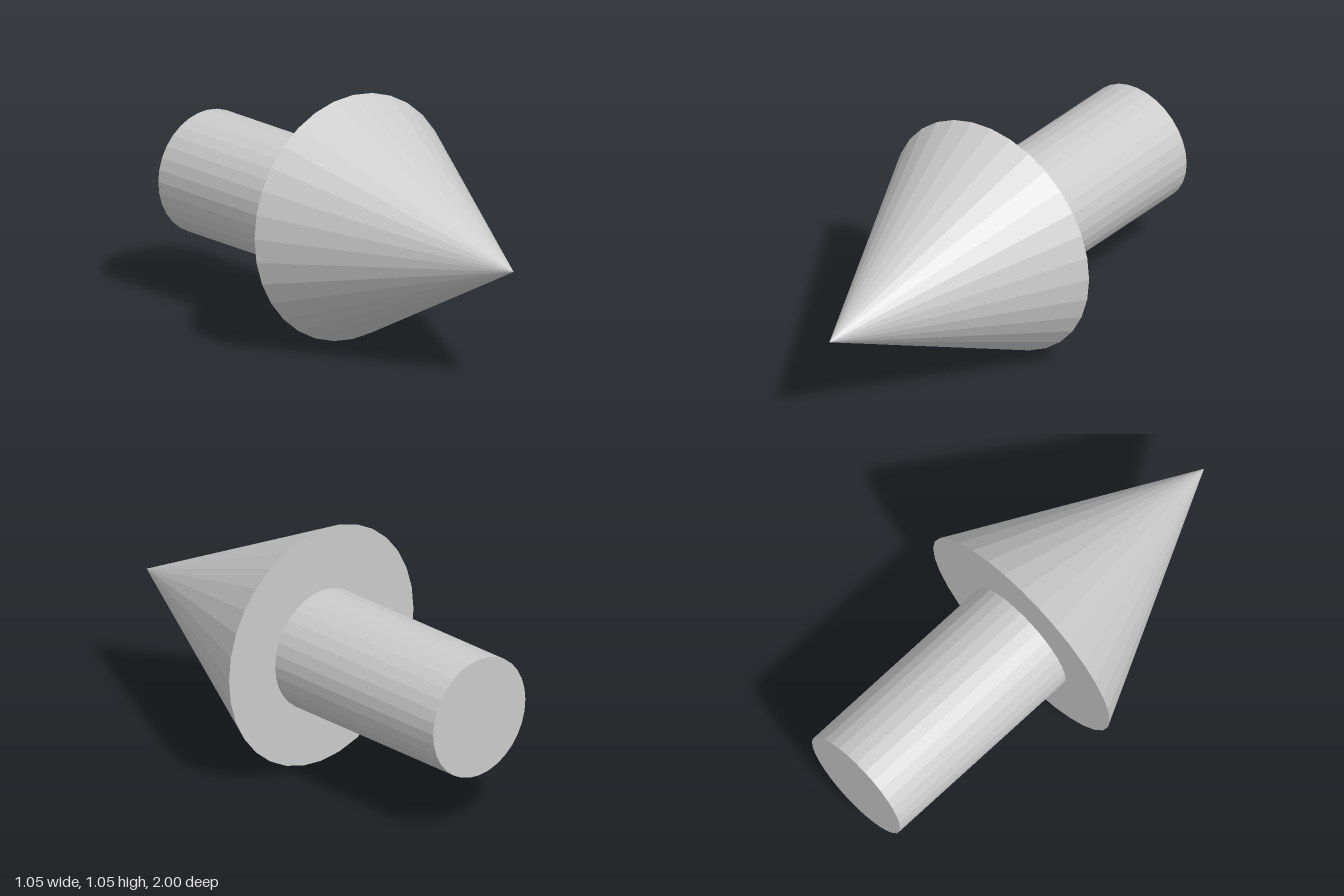
import * as THREE from 'three';

const SIDES = 32;
const BASE_Z = -0.05; // where the head meets the shaft

export function createModel() {
  const group = new THREE.Group();
  group.name = 'arrow';
  const material = new THREE.MeshStandardMaterial({ color: 0xcccccc, flatShading: true });

  // Adds a part whose axis runs along z, from back to front
  const addPart = (name, geometry, y, back, front) => {
    const mesh = new THREE.Mesh(geometry.rotateX(Math.PI / 2), material);
    mesh.name = name;
    mesh.position.set(0, y, (back + front) / 2);
    group.add(mesh);
  };

  // Pointed head, tip to the front
  addPart('arrowHead', new THREE.ConeGeometry(0.526, 1 - BASE_Z, SIDES), 0.53, BASE_Z, 1);

  // Round shaft, set slightly below the head's axis
  addPart('shaft', new THREE.CylinderGeometry(0.263, 0.263, BASE_Z + 1, SIDES), 0.515, -1, BASE_Z);

  return group;
}
